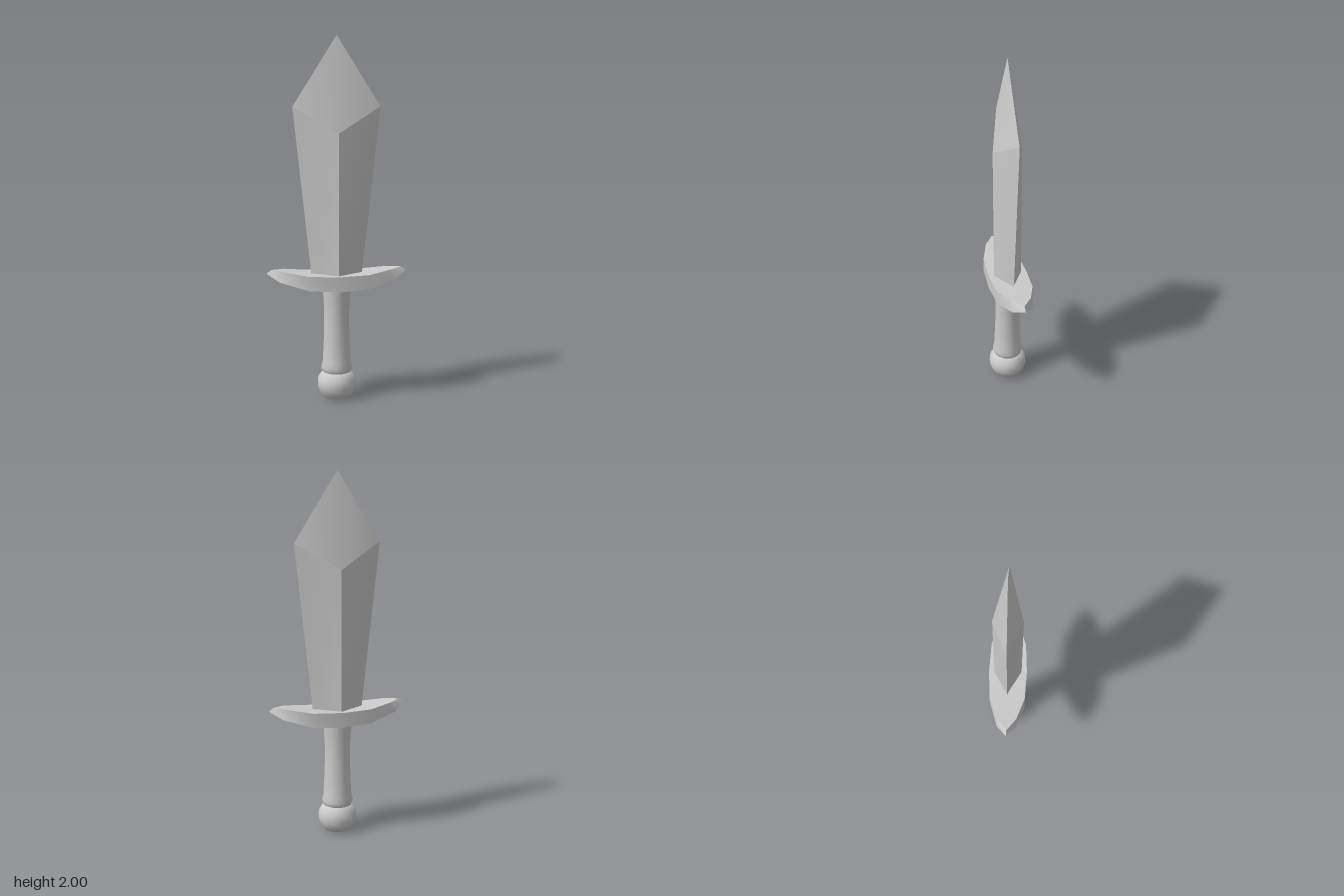
import * as THREE from 'three';
import { toCreasedNormals } from 'three/addons/utils/BufferGeometryUtils.js';

const material = new THREE.MeshStandardMaterial({ color: 0xcccccc });

function addMesh(parent, name, geometry) {
  const mesh = new THREE.Mesh(geometry, material);
  mesh.name = name;
  parent.add(mesh);
  return mesh;
}

// Indexed surface; normals are shared inside it, hard at its border
function panel(points, index) {
  const g = new THREE.BufferGeometry();
  g.setAttribute('position', new THREE.Float32BufferAttribute(points.flat(), 3));
  g.setIndex(index);
  g.computeVertexNormals();
  return g;
}

// One face of the blade: two flanks meeting at a ridge, and the folded point
function bladeSide() {
  const side = new THREE.Group();
  const tip = [0, 2, 0], ridge = [0, 1.48, 0.08], root = [0, 0.66, 0.078];
  const left = [0.24, 1.62, 0], right = [-0.24, 1.62, 0];
  addMesh(side, 'bladePoint', panel([tip, right, ridge, left], [0, 1, 2, 0, 2, 3]));
  addMesh(side, 'bladeFlankLeft', panel([root, [0.136, 0.66, 0], left, ridge], [0, 1, 2, 0, 2, 3]));
  addMesh(side, 'bladeFlankRight', panel([[-0.136, 0.66, 0], root, ridge, right], [0, 1, 2, 0, 2, 3]));
  return side;
}

// Upswept guard: five-point sections joined from one tip to the other
function guardGeometry() {
  // top x, top y, bottom x, bottom y, keel y, half depth
  const half = [
    [0, 0.705, 0, 0.622, 0.612, 0.109],
    [0.165, 0.711, 0.165, 0.632, 0.622, 0.1],
    [0.29, 0.729, 0.32, 0.675, 0.671, 0.055],
    [0.36, 0.735, 0.388, 0.715, 0.715, 0],
  ];
  const mirrored = half.slice(1).reverse().map(([a, b, c, ...r]) => [-a, b, -c, ...r]);
  const stations = [...mirrored, ...half];
  const points = [], index = [];
  for (const [tx, ty, bx, by, ky, z] of stations) {
    points.push([tx, ty, z], [tx, ty, -z], [bx, by, -z], [bx, ky, 0], [bx, by, z]);
  }
  for (let i = 0; i < stations.length - 1; i++) {
    for (let j = 0; j < 5; j++) {
      const a = i * 5 + j, b = i * 5 + ((j + 1) % 5);
      index.push(a, a + 5, b, b, a + 5, b + 5);
    }
  }
  return toCreasedNormals(panel(points, index), 0.5);
}

function lathe(profile) {
  return new THREE.LatheGeometry(profile.map(([r, y]) => new THREE.Vector2(r, y)), 20);
}

export function createModel() {
  const model = new THREE.Group();
  model.name = 'dagger';

  // Blade, the back being the front turned around
  const blade = new THREE.Group();
  blade.name = 'blade';
  for (const turn of [0, Math.PI]) {
    const side = bladeSide();
    side.name = turn ? 'bladeBack' : 'bladeFront';
    side.rotation.y = turn;
    blade.add(side);
  }
  model.add(blade);

  addMesh(model, 'guard', guardGeometry());

  // Waisted grip with a collar at its foot
  addMesh(model, 'grip', lathe([
    [0.07, 0.14], [0.08, 0.153], [0.087, 0.178], [0.079, 0.205], [0.074, 0.3],
    [0.07, 0.4], [0.07, 0.5], [0.075, 0.58], [0.078, 0.63],
  ]));

  // Rounded pommel
  addMesh(model, 'pommel', lathe([
    [0, 0], [0.04, 0.001], [0.072, 0.007], [0.095, 0.032], [0.107, 0.07],
    [0.105, 0.112], [0.08, 0.151], [0.04, 0.155],
  ]));

  return model;
}
